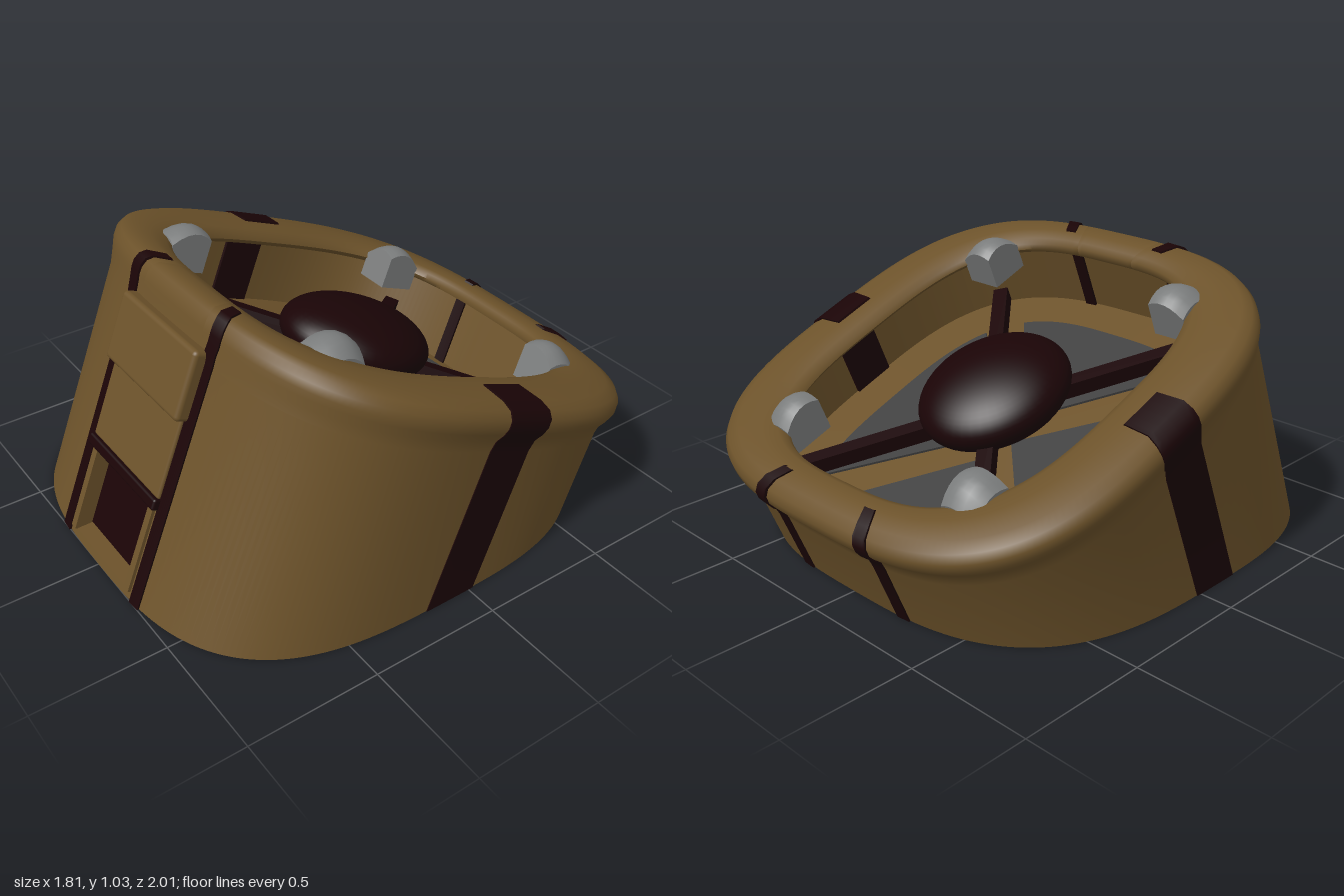
import * as THREE from 'three';
import { toCreasedNormals } from 'three/addons/utils/BufferGeometryUtils.js';
import { RoundedBoxGeometry } from 'three/addons/geometries/RoundedBoxGeometry.js';

const TILT = 0.384, SHIFT = 0.079, POWER = 3.05, GROUND = null;
const FLOOR = 0.36, INNER_Z = -0.046;

const mat = (name, color) => {
  const m = new THREE.MeshStandardMaterial({ color });
  m.name = name;
  return m;
};

// Point on a rounded-square ring; t = 0 is the +x side, t = PI/2 the front
function ring(t, a, b) {
  const p = v => Math.sign(v) * Math.abs(v) ** (2 / POWER);
  return [a * p(Math.cos(t)), b * p(Math.sin(t))];
}
// Parameter t in the front +x quadrant where the ring reaches a fraction of its half width
const tAtX = f => Math.acos(f ** (POWER / 2));

// Sweep a profile of [half width, half depth, height, z offset] around part of the ring.
// GROUND heights are cut off level with the floor the model stands on.
// A non-zero sink folds the two ends into side walls of that depth.
function sweep(t0, t1, segs, profile, sink = 0) {
  const pos = [], idx = [], n = profile.length;
  for (let i = 0; i <= segs; i++) {
    const atEnd = sink !== 0 && (i === 0 || i === segs);
    const f = sink === 0 ? i / segs : THREE.MathUtils.clamp((i - 1) / (segs - 2), 0, 1);
    const d = atEnd ? sink : 0;
    for (const [a, b, h, dz = 0] of profile) {
      const p = ring(t0 + (t1 - t0) * f, a - d, b - d);
      const z = p[1] + dz;
      pos.push(p[0], h === GROUND ? -(z + SHIFT) * Math.tan(TILT) : h - Math.max(d, 0), z);
    }
  }
  for (let i = 0; i < segs; i++) {
    for (let j = 0; j < n - 1; j++) {
      const k = i * n + j;
      idx.push(k, k + 1, k + n, k + 1, k + n + 1, k + n);
    }
  }
  const g = new THREE.BufferGeometry();
  g.setAttribute('position', new THREE.Float32BufferAttribute(pos, 3));
  g.setIndex(idx);
  return toCreasedNormals(g, 0.9);
}

export function createModel() {
  const tan = mat('tan brown', 0x6c522a);
  const maroon = mat('dark maroon', 0x1a0406);
  const slate = mat('slate grey', 0x404040);
  const silver = mat('light grey', 0x7a7c7c);

  const model = new THREE.Group();
  const tilted = new THREE.Group();
  tilted.name = 'tiltedBody';
  tilted.rotation.x = -TILT;
  model.add(tilted);
  const body = new THREE.Group();
  body.name = 'body';
  body.position.z = SHIFT;
  tilted.add(body);

  const add = (name, geo, material, x = 0, y = 0, z = 0) => {
    const m = new THREE.Mesh(geo, material);
    m.name = name;
    m.position.set(x, y, z);
    body.add(m);
    return m;
  };

  // Shell: underside, wall flaring into the rim, overhanging lip, cavity wall and floor
  const rim = [
    [0.87, 0.85, 0.56], [0.878, 0.855, 0.605], [0.892, 0.866, 0.635, -0.01], [0.9, 0.873, 0.66, -0.014],
    [0.898, 0.872, 0.69, -0.014], [0.88, 0.858, 0.717, -0.01], [0.84, 0.83, 0.734], [0.73, 0.77, 0.738],
    [0.66, 0.725, 0.73], [0.63, 0.705, 0.715], [0.62, 0.7, 0.695], [0.64, 0.71, 0.675], [0.82, 0.8, 0.66],
  ];
  const base = [[0, 0, GROUND], [0.87, 0.85, GROUND]];
  const inside = [[0.82, 0.8, FLOOR], [0, 0, FLOOR]];
  const doorT = tAtX(0.19 / 0.87);
  add('shell', sweep(Math.PI - doorT, 2 * Math.PI + doorT, 176, [...base, ...rim, ...inside]), tan);

  // Front section of the shell with the door recess
  const recess = [[0.87, 0.85, -0.343], [0.87, 0.79, -0.319], [0.87, 0.79, -0.01], [0.87, 0.85, -0.01]];
  add('doorwayShell', sweep(doorT, Math.PI - doorT, 10, [...base, ...recess, ...rim, ...inside]), tan);
  add('door', new THREE.BoxGeometry(0.38, 0.31, 0.008), maroon, 0, -0.163, 0.79);
  for (const s of [-1, 1]) {
    add('doorPost', new THREE.BoxGeometry(0.03, 0.335, 0.078), tan, s * 0.205, -0.177, 0.819);
  }

  // Stacked front panels above the door
  add('doorLintel', new RoundedBoxGeometry(0.48, 0.045, 0.06, 2, 0.01), maroon, 0, 0.018, 0.846);
  add('middlePanel', new RoundedBoxGeometry(0.47, 0.31, 0.05, 2, 0.01), tan, 0, 0.192, 0.838);
  add('upperPanel', new RoundedBoxGeometry(0.5, 0.26, 0.09, 3, 0.018), tan, 0, 0.47, 0.853);

  // Straps over the wall and half the rim, continued on the cavity wall
  const strap = (name, t0, t1, lift) => {
    const outer = [[0.87 + lift, 0.85 + lift, GROUND],
      ...rim.slice(0, 7).map(([a, b, h, dz], i) => [a + lift, b + lift, i < 3 ? h : h + 0.006, dz]),
      [0.74, 0.775, 0.745], [0.73, 0.765, 0.72]];
    add(name, sweep(t0, t1, 8, outer, 0.025), maroon);
    const inner = [[0.808, 0.788, 0.665], [0.808, 0.788, FLOOR]];
    add(name + 'Inner', sweep(t0, t1, 8, inner, -0.015), maroon);
  };
  const ta = tAtX(0.286 / 0.87), tb = tAtX(0.232 / 0.87), tw = Math.asin(0.112 ** (POWER / 2));
  for (const half of [0, Math.PI]) {
    strap('narrowStrap', half + ta, half + tb, 0.007);
    strap('narrowStrap', half + Math.PI - tb, half + Math.PI - ta, 0.007);
    strap('wideStrap', half - tw, half + tw, 0.004);
  }

  // Four grey floor panels separated by diagonal gaps
  const floorPanel = (name, apex, keep) => {
    const pts = [new THREE.Vector2(apex[0], -apex[1])];
    const start = Math.atan2(apex[1], apex[0]) - Math.PI / 2;
    for (let i = 0; i <= 120; i++) {
      const [x, z] = ring(start + Math.PI * i / 120, 0.625, 0.685);
      if (keep(x, z)) pts.push(new THREE.Vector2(x, -z));
    }
    const g = new THREE.ExtrudeGeometry(new THREE.Shape(pts), { depth: 0.009, bevelEnabled: false });
    add(name, g.rotateX(-Math.PI / 2), slate, 0, FLOOR, INNER_Z);
  };
  for (const s of [-1, 1]) {
    floorPanel('endFloorPanel', [0, s * 0.13], (x, z) => s * z > 0.13 + 1.08 * Math.abs(x));
    floorPanel('sideFloorPanel', [s * 0.05, 0], (x, z) => s * x > 0.05 + 0.99 * Math.abs(z));
  }

  // Central dome
  const dome = new THREE.SphereGeometry(1, 48, 32).scale(0.28, 0.14, 0.305);
  add('centreDome', dome, maroon, 0, 0.57, 0);

  // Spokes and corner blocks with gently domed tops
  for (const sx of [-1, 1]) {
    for (const sz of [-1, 1]) {
      const spoke = add('spoke', new THREE.BoxGeometry(0.06, 0.06, 0.74), maroon, sx * 0.255, 0.51, sz * 0.305 + INNER_Z);
      spoke.rotation.y = Math.atan2(sx * 0.45, sz * 0.54);

      const g = new THREE.BoxGeometry(0.15, 0.165, 0.165, 6, 1, 6);
      const p = g.attributes.position;
      for (let i = 0; i < p.count; i++) {
        if (p.getY(i) < 0) continue;
        const u = sx * p.getX(i) / 0.075, v = sz * p.getZ(i) / 0.0825;
        p.setY(i, p.getY(i) - 0.03 * u * u - 0.035 * v * v - 0.015 * (u + v));
      }
      add('cornerBlock', toCreasedNormals(g, 0.5), silver, sx * 0.485, 0.7, sz * 0.55);
    }
  }
  return model;
}
